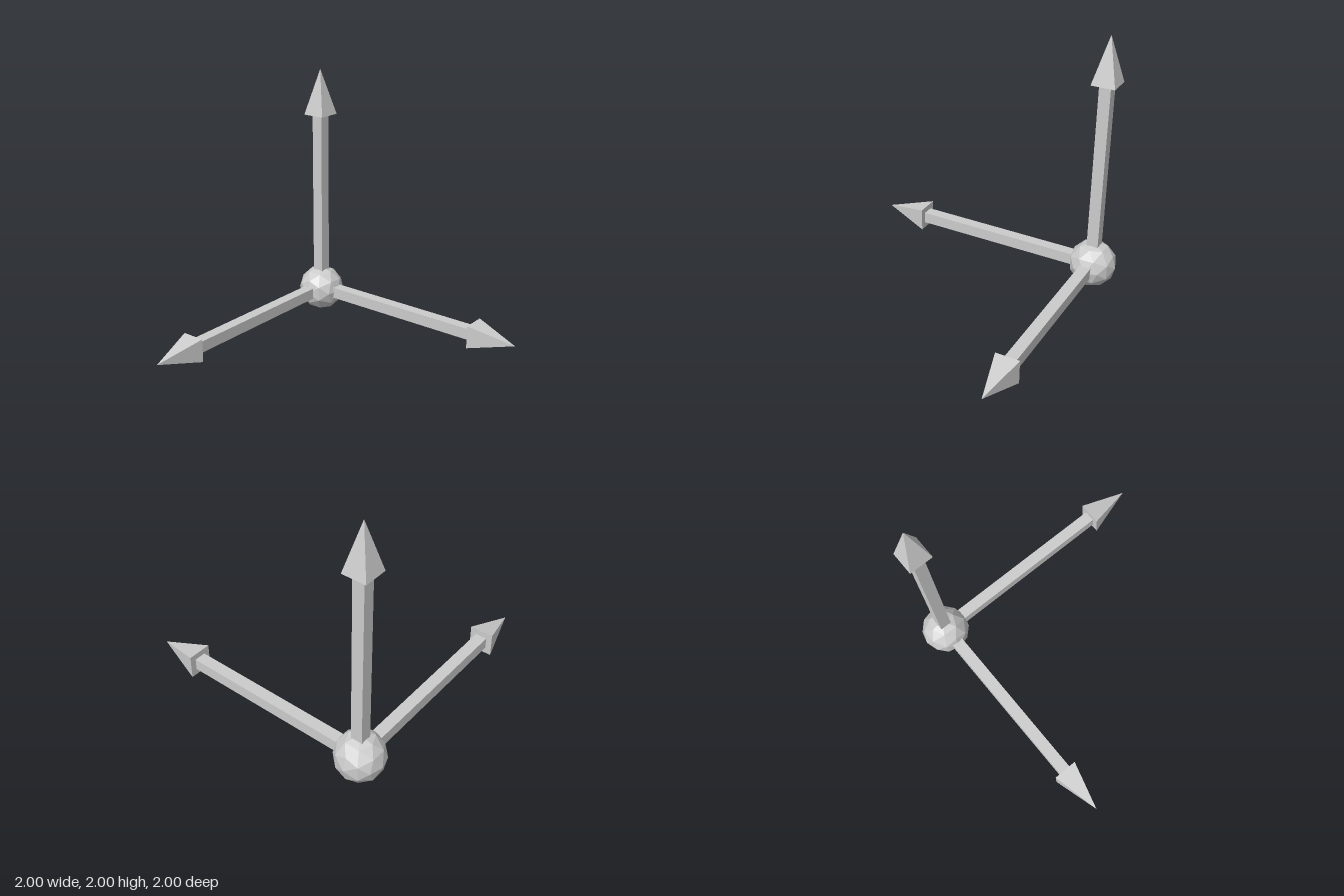
import * as THREE from 'three';

const ORIGIN = new THREE.Vector3(-0.82, 0.183, -0.823);
const SHAFT_END = 1.462, TIP = 1.817;

export function createModel() {
  const material = new THREE.MeshStandardMaterial({ color: 0xcccccc, flatShading: true });
  const model = new THREE.Group();
  model.name = 'axisArrows';

  // Faceted ball at the corner
  const ball = new THREE.Mesh(new THREE.IcosahedronGeometry(0.181, 1), material);
  ball.name = 'originBall';
  ball.position.copy(ORIGIN);
  model.add(ball);

  // Square shaft and pyramid head, both built along +y
  const shaftGeometry = new THREE.BoxGeometry(0.088, SHAFT_END, 0.088);
  shaftGeometry.translate(0, SHAFT_END / 2, 0);
  const headGeometry = new THREE.ConeGeometry(0.09 * Math.SQRT2, TIP - SHAFT_END, 4);
  headGeometry.rotateY(Math.PI / 4);
  headGeometry.translate(0, (SHAFT_END + TIP) / 2, 0);

  function addArrow(name, rx, rz) {
    const arrow = new THREE.Group();
    arrow.name = name;
    const shaft = new THREE.Mesh(shaftGeometry, material);
    shaft.name = 'shaft';
    const head = new THREE.Mesh(headGeometry, material);
    head.name = 'arrowhead';
    arrow.add(shaft, head);
    arrow.position.copy(ORIGIN);
    arrow.rotation.set(rx, 0, rz);
    model.add(arrow);
  }

  addArrow('upArrow', 0, 0);
  addArrow('leftArrow', 0, -Math.PI / 2);
  addArrow('frontArrow', Math.PI / 2, 0);
  return model;
}
